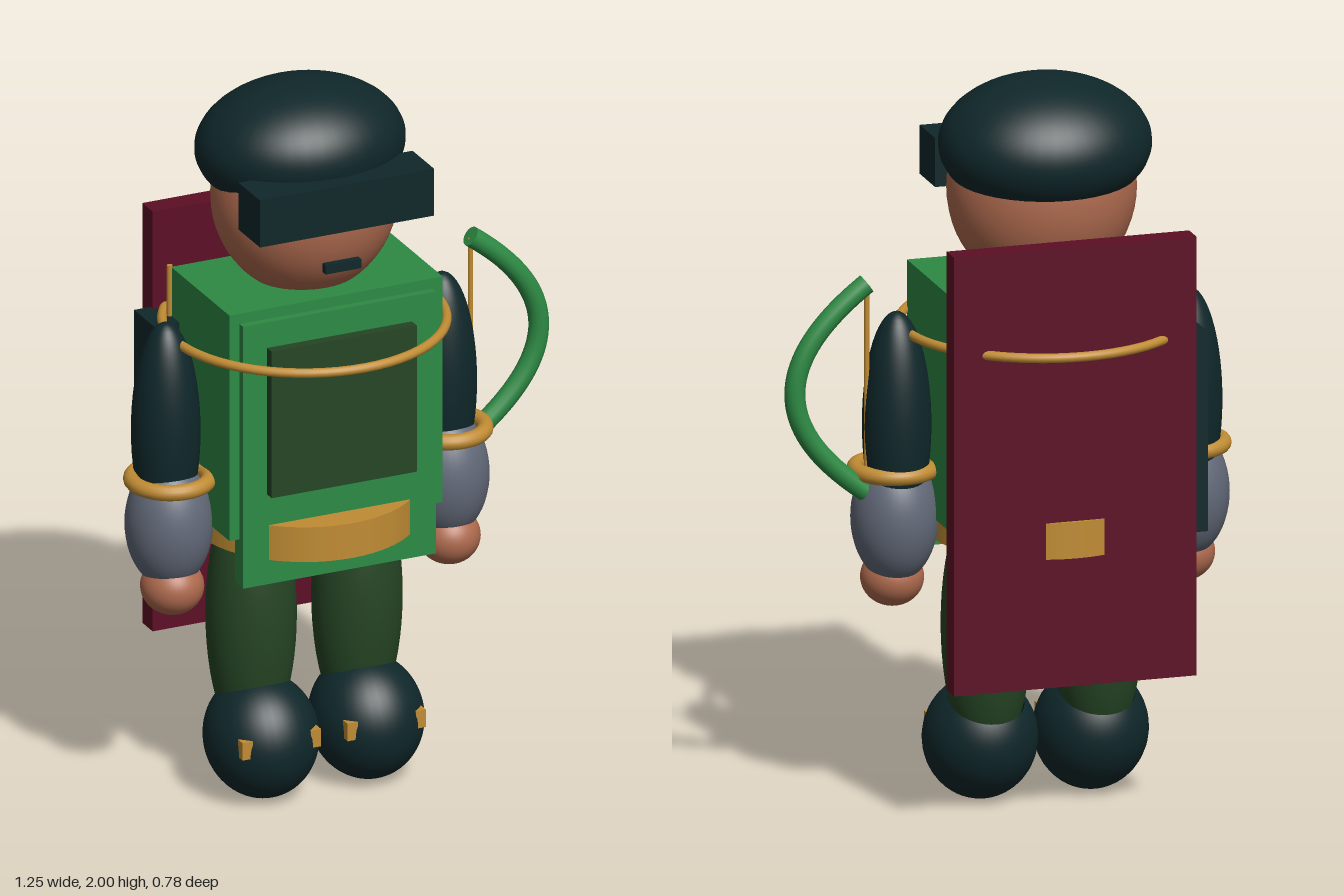
import * as THREE from 'three';

const mat = (name, color) => {
  const m = new THREE.MeshStandardMaterial({ color });
  m.name = name;
  return m;
};

export function createModel() {
  const dark = mat('darkTeal', 0x0f272a);
  const skin = mat('skin', 0xae6a4e);
  const green = mat('brightGreen', 0x2d8a44);
  const olive = mat('darkGreen', 0x254524);
  const gold = mat('gold', 0xc08c34);
  const grey = mat('slateGrey', 0x626978);
  const crimson = mat('crimson', 0x5c0e25);
  const eyeBlue = mat('eyeBlue', 0x3d5468);
  dark.side = THREE.DoubleSide; // hat and boots are open at the cut

  const root = new THREE.Group();
  root.name = 'soldier';
  const body = new THREE.Group(); // symmetric figure, shifted to balance the bow
  body.name = 'figure';
  body.position.x = -0.1;
  root.add(body);

  const add = (name, geometry, material, x, y, z, parent = body) => {
    const m = new THREE.Mesh(geometry, material);
    m.name = name;
    m.position.set(x, y, z);
    parent.add(m);
    return m;
  };
  const box = (name, material, w, h, d, x, y, z) =>
    add(name, new THREE.BoxGeometry(w, h, d), material, x, y, z);
  // ellipsoid, optionally cut between two polar angles
  const ball = (name, material, rx, ry, rz, x, y, z, from = 0, to = Math.PI) => {
    const g = new THREE.SphereGeometry(1, 40, 28, 0, Math.PI * 2, from, to - from);
    g.scale(rx, ry, rz);
    return add(name, g, material, x, y, z);
  };
  const ring = (name, r, tube, x, y, z) => {
    const m = add(name, new THREE.TorusGeometry(r, tube, 14, 64), gold, x, y, z);
    m.rotation.x = Math.PI / 2;
    return m;
  };

  // Head, hat and visor
  ball('head', skin, 0.255, 0.28, 0.235, 0, 1.69, 0);
  ball('hat', dark, 0.288, 0.18, 0.248, 0, 1.82, -0.03, 0, 2.07).rotation.x = -0.1;
  box('visor', dark, 0.51, 0.135, 0.135, 0, 1.74, 0.197);
  box('mouth', dark, 0.105, 0.026, 0.02, 0, 1.562, 0.232);

  // Torso, vest panel, pocket, belt and hips
  box('torso', green, 0.625, 0.65, 0.365, 0, 1.135, 0.013);
  box('vestPanel', green, 0.565, 0.755, 0.052, 0, 1.053, 0.191);
  box('chestPocket', olive, 0.425, 0.422, 0.035, 0, 1.146, 0.229);
  add('belt', new THREE.CylinderGeometry(0.303, 0.303, 0.1, 64), gold, 0, 0.795, -0.004);
  ball('hips', dark, 0.22, 0.18, 0.165, 0, 0.795, 0);
  ring('chestRing', 0.378, 0.013, 0, 1.322, -0.003);

  // Back board, radio and aerial
  box('backBoard', crimson, 0.675, 1.21, 0.065, 0, 0.995, -0.263);
  box('radio', dark, 0.135, 0.55, 0.13, -0.318, 1.045, -0.18);
  add('aerial', new THREE.CylinderGeometry(0.008, 0.008, 0.2, 12), gold, -0.315, 1.365, -0.172);

  // Paired parts
  for (const s of [-1, 1]) {
    ball('eye', eyeBlue, 0.032, 0.032, 0.02, s * 0.088, 1.69, 0.226);

    ball('upperArm', dark, 0.092, 0.31, 0.095, s * 0.405, 1.07, -0.005);
    ball('forearm', grey, 0.117, 0.18, 0.122, s * 0.405, 0.81, 0.014);
    ring('cuff', 0.103, 0.022, s * 0.405, 0.942, 0.022);
    ball('hand', skin, 0.085, 0.078, 0.087, s * 0.405, 0.638, 0.035);

    ball('leg', olive, 0.122, 0.38, 0.12, s * 0.155, 0.5, -0.005);
    ball('boot', dark, 0.154, 0.17, 0.161, s * 0.154, 0.17, 0.055, 0.73).rotation.x = -0.42;
    for (const t of [-1, 1])
      box('bootBuckle', gold, 0.03, 0.05, 0.03, s * 0.154 + t * 0.1, 0.19, 0.17);
  }

  // Bow with its string beside the left hand
  const bow = new THREE.Group();
  bow.name = 'bow';
  root.add(bow);
  const curve = new THREE.QuadraticBezierCurve3(
    new THREE.Vector3(0.39, 1.465, -0.01),
    new THREE.Vector3(0.79, 1.175, -0.01),
    new THREE.Vector3(0.39, 0.89, -0.01)
  );
  add('bowLimb', new THREE.TubeGeometry(curve, 48, 0.028, 14), green, 0, 0, 0, bow);
  for (const [t, s] of [[0, -1], [1, 1]]) {
    const p = curve.getPoint(t);
    const cap = add('bowTip', new THREE.CircleGeometry(0.028, 14), green, p.x, p.y, p.z, bow);
    cap.lookAt(p.clone().addScaledVector(curve.getTangent(t), s));
  }
  add('bowString', new THREE.CylinderGeometry(0.007, 0.007, 0.57, 10), gold, 0.39, 1.175, -0.01, bow);

  return root;
}
